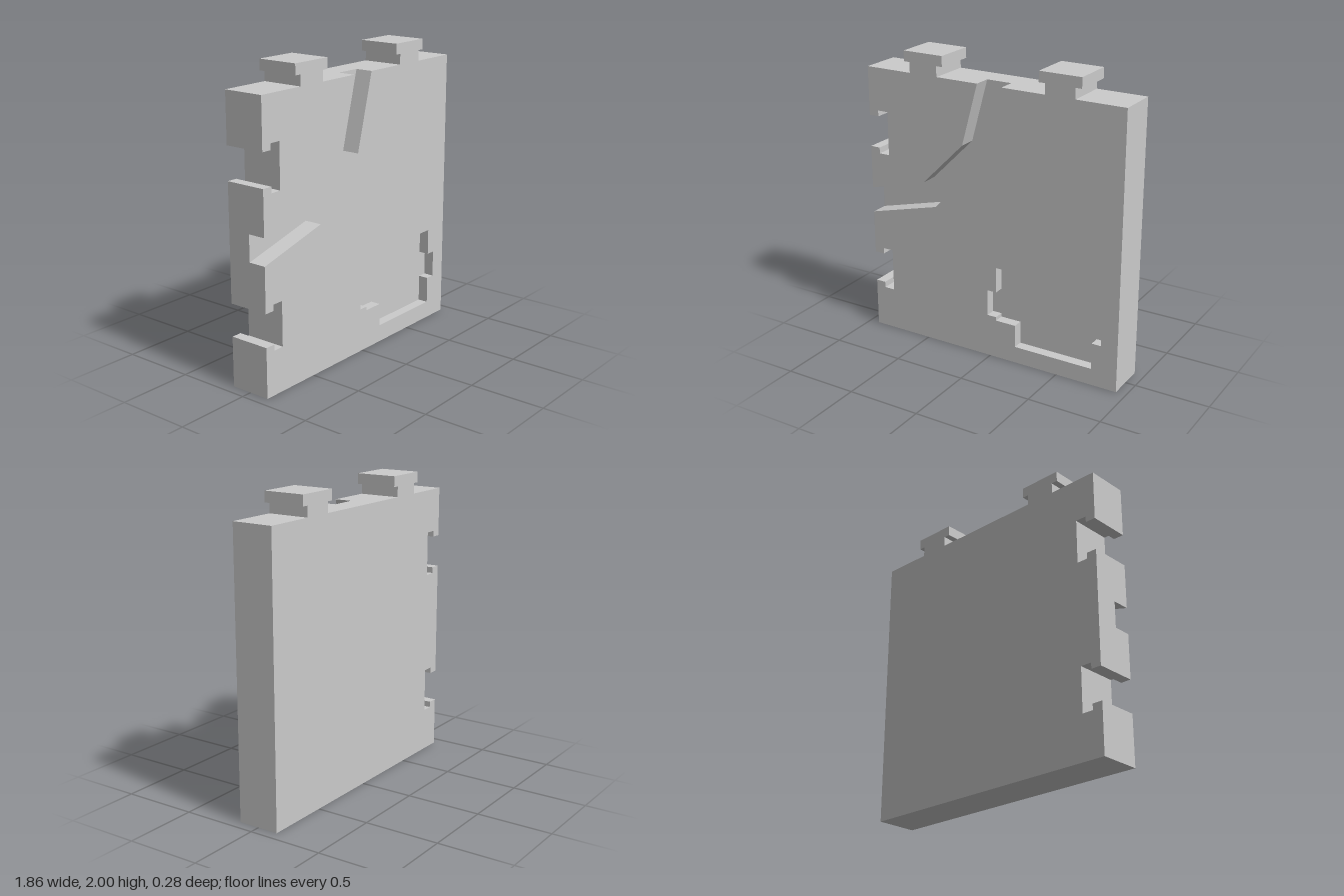
import * as THREE from 'three';

const HALF_W = 0.93, TOP = 1.86;
const BACK = -0.14, FRONT = 0.14, GROOVE_Z = 0.02, RECESS_Z = 0.07;

// T-shaped tab on the top edge, traced right to left
const tab = (x) => [
  [x + 0.102, TOP], [x + 0.102, 1.93], [x + 0.145, 1.93], [x + 0.145, 2],
  [x - 0.145, 2], [x - 0.145, 1.93], [x - 0.102, 1.93], [x - 0.102, TOP],
];

// T-shaped slot in the side edge, traced downwards
const slot = (y) => [
  [-HALF_W, y + 0.108], [-0.86, y + 0.108], [-0.86, y + 0.148], [-0.785, y + 0.148],
  [-0.785, y - 0.148], [-0.86, y - 0.148], [-0.86, y - 0.108], [-HALF_W, y - 0.108],
];

// Flat polygon at depth z, facing the front or the back
function face(points, z, hole, toBack = false) {
  const s = toBack ? -1 : 1;
  const vectors = (list) => list.map(([x, y]) => new THREE.Vector2(s * x, y));
  const shape = new THREE.Shape(vectors(points));
  if (hole) shape.holes.push(new THREE.Path(vectors(hole)));
  const geometry = new THREE.ShapeGeometry(shape);
  if (toBack) geometry.rotateY(Math.PI);
  return geometry.translate(0, 0, z);
}

// Straight walls along a closed outline; counter-clockwise outlines face outwards
function walls(points, z0, z1) {
  const positions = [];
  points.forEach(([ax, ay], i) => {
    const [bx, by] = points[(i + 1) % points.length];
    positions.push(ax, ay, z0, bx, by, z0, bx, by, z1, ax, ay, z0, bx, by, z1, ax, ay, z1);
  });
  const geometry = new THREE.BufferGeometry();
  geometry.setAttribute('position', new THREE.Float32BufferAttribute(positions, 3));
  geometry.computeVertexNormals();
  return geometry;
}

export function createModel() {
  const model = new THREE.Group();
  model.name = 'interlockingTile';
  const material = new THREE.MeshStandardMaterial({ color: 0xcccccc, flatShading: true });
  const add = (name, ...geometries) => {
    const part = new THREE.Group();
    part.name = name;
    geometries.forEach((g) => {
      const mesh = new THREE.Mesh(g, material);
      mesh.name = name + 'Surface';
      part.add(mesh);
    });
    model.add(part);
  };

  // Both edges of the bent groove, from the top to the side
  const upperEdge = [[-0.09, TOP], [-0.205, 1.44], [-0.51, 1.135], [-HALF_W, 1.02]];
  const lowerEdge = [[0.085, TOP], [-0.05, 1.355], [-0.42, 0.98], [-HALF_W, 0.845]];

  // Outline runs either side of the groove
  const cornerRun = [...tab(-0.493), [-HALF_W, TOP], ...slot(1.423)];
  const mainRun = [...slot(0.44), [-HALF_W, 0], [HALF_W, 0], [HALF_W, TOP], ...tab(0.49)];
  const outline = [
    ...mainRun, lowerEdge[0], upperEdge[0], ...cornerRun, upperEdge[3], lowerEdge[3],
  ];
  const corner = [...cornerRun, ...[...upperEdge].reverse()];
  const main = [...mainRun, ...lowerEdge];

  // Stepped recess, clockwise so its walls face inwards
  const recess = [
    [0.045, 0.65], [0.75, 0.65], [0.75, 0.475], [0.815, 0.475], [0.815, 0.295],
    [0.75, 0.295], [0.75, 0.115], [0.19, 0.115], [0.19, 0.27], [0.045, 0.27],
    [0.045, 0.295], [-0.02, 0.295], [-0.02, 0.475], [0.045, 0.475],
  ];

  add('backPlate', face(outline, BACK, null, true), walls(outline, BACK, GROOVE_Z));
  add('cornerPlate', face(corner, FRONT), walls(corner, GROOVE_Z, FRONT));
  add('mainPlate', face(main, FRONT, recess), walls(main, GROOVE_Z, FRONT));
  add('grooveFloor', face([...upperEdge, ...[...lowerEdge].reverse()], GROOVE_Z));
  add('recess', face(recess, RECESS_Z), walls(recess, RECESS_Z, FRONT));
  return model;
}
